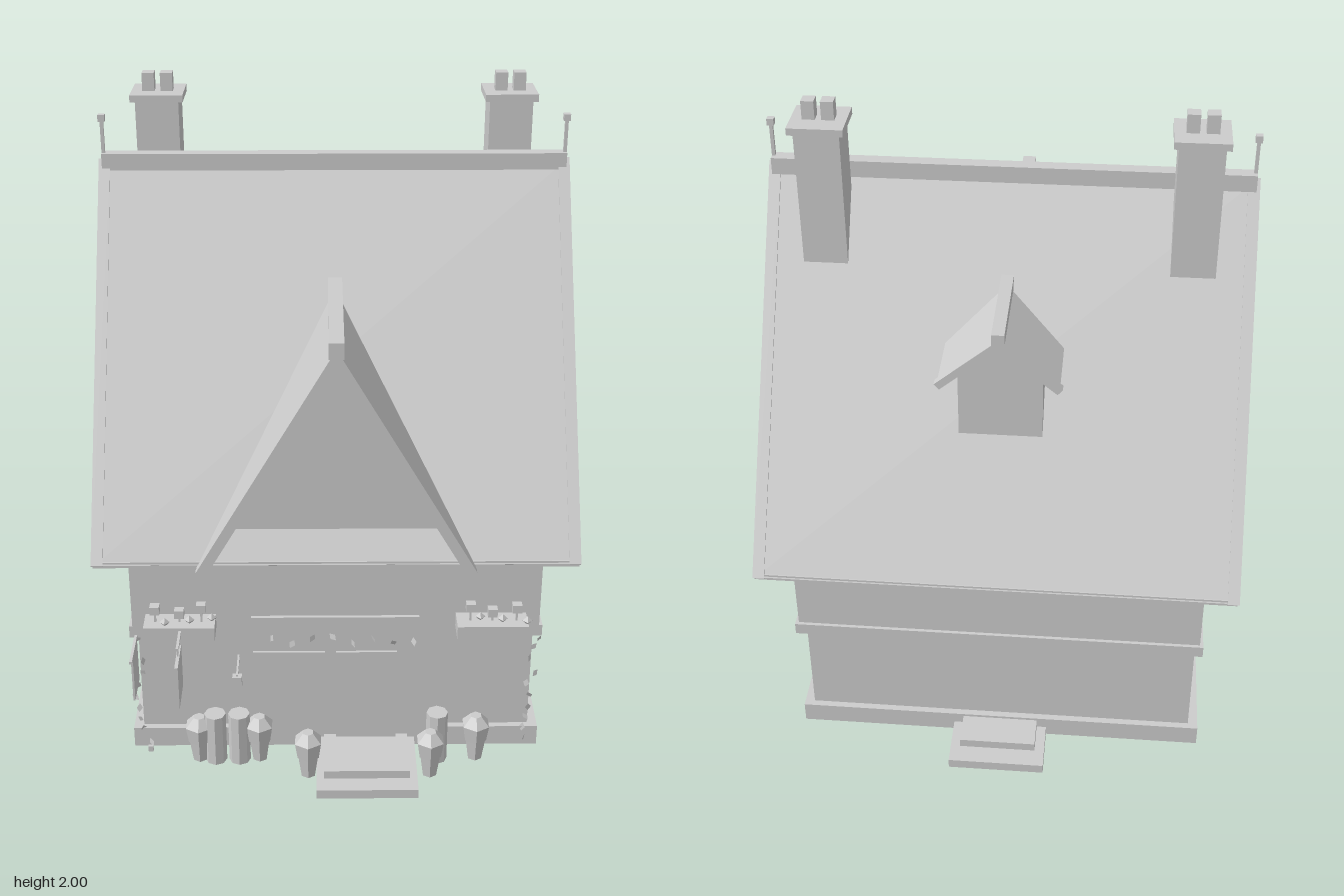
import * as THREE from 'three';

const stone = new THREE.MeshStandardMaterial({ color: 0xcccccc, side: THREE.DoubleSide });
stone.name = 'pale grey';
stone.flatShading = true;

export function createModel() {
  const group = new THREE.Group();
  group.name = 'cottage';

  const add = (name, geo) => {
    const m = new THREE.Mesh(geo, stone);
    m.name = name;
    group.add(m);
    return m;
  };
  // Box given by its extents on each axis
  const box = (name, x0, x1, y0, y1, z0, z1) => {
    const m = add(name, new THREE.BoxGeometry(x1 - x0, y1 - y0, z1 - z0));
    m.position.set((x0 + x1) / 2, (y0 + y1) / 2, (z0 + z1) / 2);
    return m;
  };
  // Profile in (x, y), extruded between two z values
  const extrude = (pts, z0, z1) => {
    const shape = new THREE.Shape(pts.map(p => new THREE.Vector2(p[0], p[1])));
    return new THREE.ExtrudeGeometry(shape, { depth: z1 - z0, bevelEnabled: false }).translate(0, 0, z0);
  };
  // Profile in (z, y), extruded symmetrically along x
  const extrudeX = (pts, half) => extrude(pts, -half, half).rotateY(-Math.PI / 2);
  // Roof section: two sloping slabs meeting at a ridge
  const chevron = (c, apex, run, eave, t) => {
    const len = Math.hypot(run, apex - eave);
    const nx = (apex - eave) / len * t, ny = run / len * t;
    return [[c - run, eave], [c, apex], [c + run, eave], [c + run - nx, eave - ny],
      [c, apex - t * len / run], [c - run + nx, eave - ny]];
  };

  // Walls
  box('plinth', -0.63, 0.63, 0.016, 0.083, -0.57, 0.47);
  box('lowerWalls', -0.6, 0.6, 0.08, 0.45, -0.55, 0.45);
  add('upperWalls', extrudeX([[0.5, 0.44], [0.5, 0.87], [-0.05, 1.705], [-0.6, 0.87], [-0.6, 0.44]], 0.61));
  box('floorBand', -0.62, 0.62, 0.44, 0.478, -0.61, 0.5);

  // Main roof with raised verge boards, eaves and ridge
  add('mainRoof', extrudeX(chevron(-0.05, 1.755, 0.662, 0.757, 0.028), 0.69));
  for (const s of [-1, 1]) {
    add('vergeBoard', extrudeX(chevron(-0.05, 1.763, 0.666, 0.757, 0.036), 0.017).translate(s * 0.683, 0, 0));
    box('finialRod', s * 0.685 - 0.005, s * 0.685 + 0.005, 1.74, 1.885, -0.055, -0.045);
    box('finialTip', s * 0.685 - 0.01, s * 0.685 + 0.01, 1.875, 1.895, -0.06, -0.04);
    box('eaveBoard', -0.695, 0.695, 0.748, 0.766, s > 0 ? 0.595 : -0.71, s > 0 ? 0.61 : -0.695);
  }
  box('ridgeCap', -0.69, 0.69, 1.73, 1.78, -0.073, -0.033);

  // Front gable and projecting bay
  box('lowerBay', -0.305, 0.305, 0.08, 0.45, 0.4, 0.5);
  box('upperBay', -0.305, 0.305, 0.44, 0.76, 0.4, 0.555);
  add('gableWall', extrude([[-0.37, 0.74], [0.37, 0.74], [0, 1.39]], 0.3, 0.555));
  add('gableRoof', extrude(chevron(0, 1.43, 0.398, 0.752, 0.025), 0.1, 0.63));
  add('gableBoard', extrude(chevron(0, 1.437, 0.4, 0.75, 0.03), 0.625, 0.645));
  box('gableRidge', -0.021, 0.021, 1.41, 1.457, 0.1, 0.65);

  // Shop front: fascia, window, door and steps
  box('fascia', -0.25, 0.245, 0.463, 0.55, 0.55, 0.566);
  box('shopWindow', -0.25, -0.033, 0.145, 0.388, 0.495, 0.508);
  box('frontDoor', 0, 0.185, 0.075, 0.388, 0.495, 0.508);
  box('frontStepLower', -0.06, 0.245, 0.016, 0.046, 0.45, 0.727);
  box('frontStepUpper', -0.037, 0.222, 0.046, 0.073, 0.45, 0.672);
  box('backStepLower', -0.15, 0.145, 0.016, 0.047, -0.73, -0.5);
  box('backStepUpper', -0.12, 0.115, 0.047, 0.075, -0.67, -0.5);

  // Rear dormer
  add('dormerWalls', extrude([[-0.12, 1.1], [0.12, 1.1], [0.12, 1.36], [0, 1.465], [-0.12, 1.36]], -0.465, -0.2));
  add('dormerRoof', extrude(chevron(0, 1.487, 0.17, 1.342, 0.018), -0.512, -0.15));
  add('dormerBoard', extrude(chevron(0, 1.492, 0.178, 1.341, 0.022), -0.53, -0.507));
  box('dormerRidge', -0.018, 0.018, 1.475, 1.51, -0.53, -0.15);

  // Chimneys with a cap and two pots each
  for (const s of [-1, 1]) {
    const x = s * 0.524;
    box('chimney', x - 0.064, x + 0.064, 1.4, 1.93, -0.205, -0.083);
    box('chimneyCap', x - 0.078, x + 0.078, 1.925, 1.946, -0.222, -0.07);
    for (const o of [-0.027, 0.027])
      box('chimneyPot', x + o - 0.018, x + o + 0.018, 1.94, 2, -0.162, -0.124);
  }

  // Window boxes with leaves and flowers
  for (const s of [-1, 1]) {
    box('windowBox', s * 0.463 - 0.105, s * 0.463 + 0.105, 0.478, 0.522, 0.49, 0.578);
    [[-0.065, 0.57], [0, 0.552], [0.072, 0.565]].forEach(([o, y], i) => {
      const x = s * (0.463 + o);
      box('flowerStem', x - 0.003, x + 0.003, 0.51, y, 0.537, 0.543);
      box('flower', x - 0.014, x + 0.014, y - 0.013, y + 0.013, 0.528, 0.553);
      const leaf = add('flowerLeaf', new THREE.OctahedronGeometry(0.015));
      leaf.position.set(x + 0.03, 0.532, 0.535 + i * 0.012);
    });
  }

  // Hanging signs and lantern
  box('cornerSignRod', -0.605, -0.597, 0.44, 0.448, 0.45, 0.64);
  box('cornerSign', -0.604, -0.598, 0.292, 0.44, 0.503, 0.612);
  box('signRod', -0.464, -0.456, 0.505, 0.513, 0.49, 0.67);
  box('hangingSign', -0.465, -0.455, 0.34, 0.48, 0.6, 0.72);
  for (const z of [0.615, 0.655]) box('signHanger', -0.462, -0.458, 0.475, 0.51, z, z + 0.005);
  box('lantern', -0.308, -0.28, 0.33, 0.37, 0.588, 0.612);
  box('lanternArm', -0.297, -0.291, 0.368, 0.376, 0.49, 0.605);

  // Potted shrubs either side of the entrance
  for (const [x, z] of [[-0.42, 0.53], [-0.235, 0.53], [-0.085, 0.61], [0.285, 0.61], [0.43, 0.53]]) {
    const pot = add('plantPot', new THREE.CylinderGeometry(0.035, 0.023, 0.08, 6));
    pot.position.set(x, 0.056, z);
    const bush = add('shrub', new THREE.CylinderGeometry(0.045, 0.037, 0.052, 6));
    bush.position.set(x, 0.115, z);
    const top = add('shrubTop', new THREE.CylinderGeometry(0.018, 0.045, 0.03, 6));
    top.position.set(x, 0.156, z);
  }
  // Tall jars standing beside the door
  for (const x of [-0.37, -0.297, 0.31]) {
    const jar = add('tallJar', new THREE.CylinderGeometry(0.033, 0.033, 0.17, 8));
    jar.position.set(x, 0.101, 0.535);
  }

  // Climbing leaves on the corners and over the entrance
  let seed = 7;
  const rnd = () => (seed = (seed * 16807) % 2147483647) / 2147483647;
  const leafGeo = new THREE.CircleGeometry(0.014, 4).scale(0.7, 1, 1);
  const leafAt = (x, y, z) => {
    const m = add('ivyLeaf', leafGeo);
    m.position.set(x, y, z);
    m.rotation.set(rnd() - 0.5, rnd() * 2 - 1, rnd() * 2 - 1);
  };
  for (const s of [-1, 1])
    for (let i = 0; i < 10; i++)
      leafAt(s * (0.575 + rnd() * 0.045), 0.04 + i * 0.042, 0.46 + rnd() * 0.025);
  for (let i = 0; i < 8; i++) leafAt(-0.19 + i * 0.06, 0.46 + rnd() * 0.03, 0.572);
  const ground = add('fallenLeaf', new THREE.BoxGeometry(0.015, 0.02, 0.01));
  ground.position.set(-0.58, 0.01, 0.475);

  return group;
}
